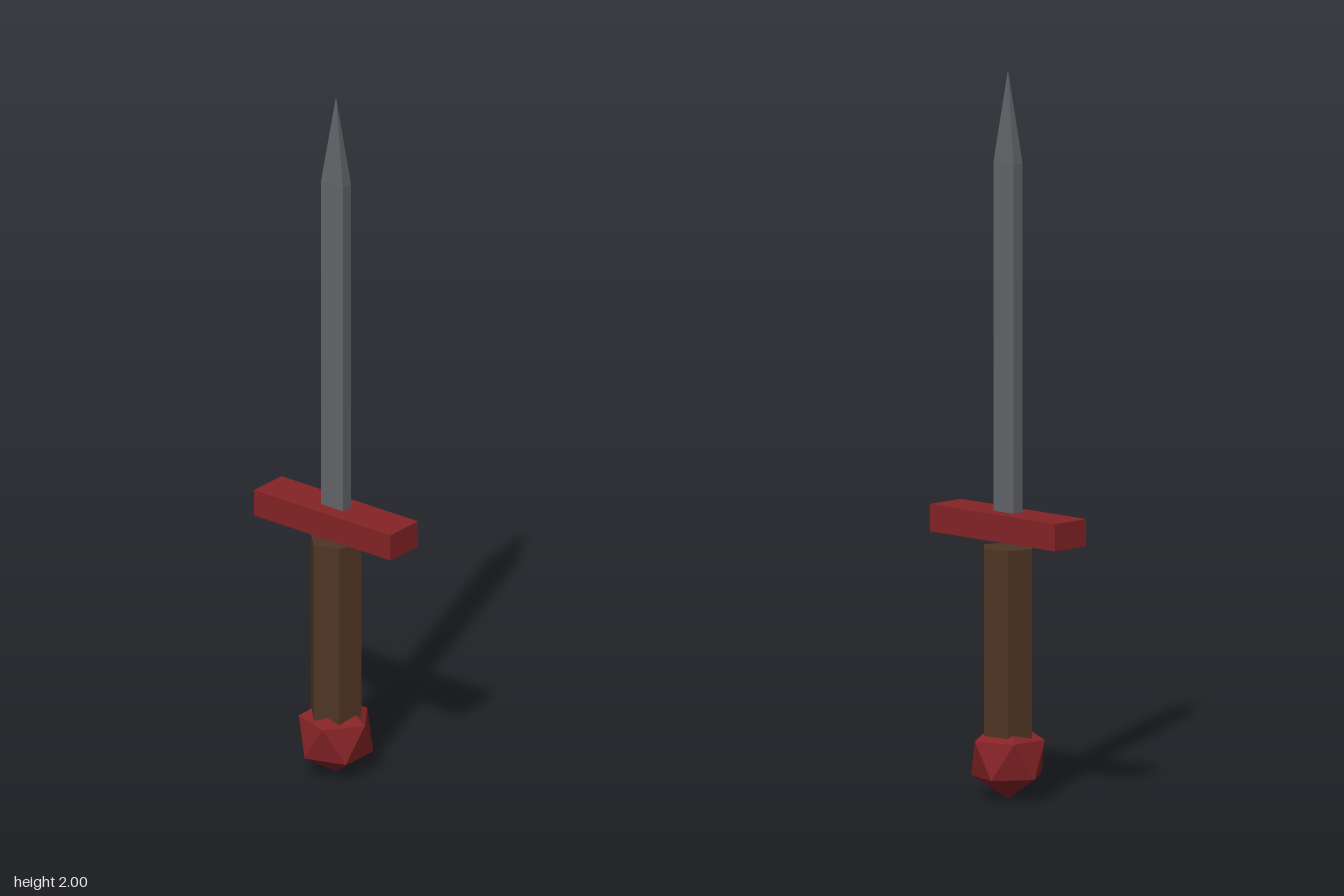
import * as THREE from 'three';

function makeMaterial(name, color) {
  const material = new THREE.MeshStandardMaterial({ color, flatShading: true });
  material.name = name;
  return material;
}

export function createModel() {
  const group = new THREE.Group();
  group.name = 'dagger';

  const steel = makeMaterial('steel', 0x626469);
  const red = makeMaterial('red', 0x852326);
  const wood = makeMaterial('wood', 0x4f3524);

  const add = (name, geometry, material, y) => {
    const mesh = new THREE.Mesh(geometry, material);
    mesh.name = name;
    mesh.position.y = y;
    group.add(mesh);
    return mesh;
  };

  const bladeWidth = 0.076, bladeDepth = 0.035;
  const bladeBottom = 0.75, shoulder = 1.745, top = 2;

  // Straight rectangular blade, rooted inside the guard
  add('blade', new THREE.BoxGeometry(bladeWidth, shoulder - bladeBottom, bladeDepth),
    steel, (shoulder + bladeBottom) / 2);

  // Four-sided pyramid tip, squared up with the blade and flattened to match
  const tip = new THREE.ConeGeometry(Math.SQRT1_2, top - shoulder, 4, 1, true);
  tip.rotateY(Math.PI / 4);
  tip.scale(bladeWidth, 1, bladeDepth);
  add('bladeTip', tip, steel, (top + shoulder) / 2);

  // Cross guard, floating just above the grip
  add('guard', new THREE.BoxGeometry(0.476, 0.075, 0.119), red, 0.75);

  // Six-sided grip, turned about its axis
  const gripBottom = 0.13, gripTop = 0.691;
  const grip = add('grip', new THREE.CylinderGeometry(0.075, 0.075, gripTop - gripBottom, 6),
    wood, (gripTop + gripBottom) / 2);
  grip.rotation.y = Math.PI / 4;

  // Faceted pommel standing on one corner
  const pommel = new THREE.IcosahedronGeometry(0.113, 0);
  pommel.rotateZ(-Math.atan(2 / (1 + Math.sqrt(5))));
  add('pommel', pommel, red, 0.113);

  return group;
}
